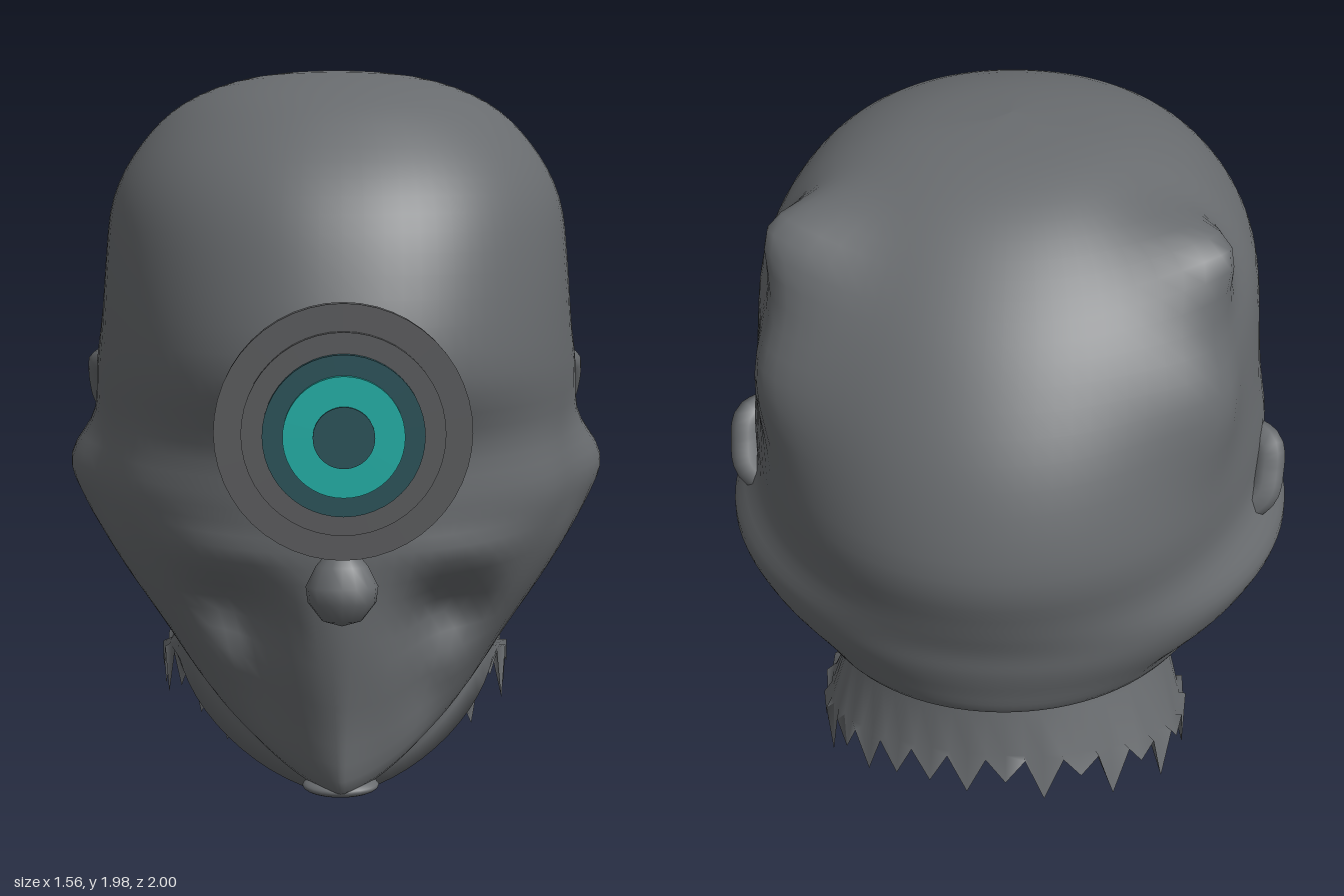
import * as THREE from 'three';

const mat = (name, color, side = THREE.FrontSide) => {
  const m = new THREE.MeshStandardMaterial({ color, side });
  m.name = name;
  return m;
};

// Head rings, top to bottom: front z, front y, back z, back y, half width, front fullness
const RINGS = [
  [-0.10, 1.99, -0.11, 1.99, 0.00, 2],
  [0.14, 1.97, -0.32, 1.96, 0.26, 2],
  [0.38, 1.90, -0.50, 1.89, 0.44, 2.1],
  [0.54, 1.79, -0.66, 1.77, 0.56, 2.2],
  [0.68, 1.64, -0.80, 1.62, 0.64, 2.2],
  [0.77, 1.45, -0.93, 1.42, 0.665, 2.2],
  [0.83, 1.20, -1.00, 1.20, 0.68, 2.1],
  [0.75, 1.02, -0.97, 1.03, 0.70, 2.1],
  [0.75, 0.86, -0.94, 0.92, 0.78, 1.95],
  [0.75, 0.72, -0.93, 0.84, 0.75, 1.85],
  [0.74, 0.52, -0.91, 0.76, 0.67, 1.7],
  [0.71, 0.30, -0.88, 0.67, 0.57, 1.5],
  [0.69, 0.12, -0.80, 0.63, 0.50, 1.35],
  [0.58, 0.10, -0.75, 0.65, 0.45, 1.4],
];

// Soft sculpting strokes, mirrored: centre, radii, offset
const STROKES = [
  [[0.27, 0.56, 0.52], [0.11, 0.10, 0.30], [-0.02, 0, -0.16]],   // eye sockets
  [[0.22, 0.38, 0.55], [0.07, 0.13, 0.25], [0, 0, -0.06]],       // beside the nose ridge
  [[0.30, 0.74, 0.55], [0.18, 0.05, 0.25], [0, 0, 0.03]],        // brows
  [[0.43, 1.78, -0.47], [0.12, 0.12, 0.14], [0.11, 0.06, -0.02]], // crown corners
  [[0.50, 1.52, -0.62], [0.16, 0.20, 0.15], [0.06, 0, -0.02]],   // rear plates
  [[0.68, 1.15, -0.15], [0.2, 0.14, 0.25], [0.02, 0, 0]],        // temple plates
  [[0.64, 0.87, 0.28], [0.2, 0.14, 0.15], [-0.03, 0, -0.02]],    // cheek hollows
  [[0.62, 0.68, -0.50], [0.2, 0.05, 0.30], [-0.04, 0, 0]],       // groove under cheekbone
];

function sculpt(p) {
  const s = Math.sign(p.x), q = p.clone();
  for (const [c, r, d] of STROKES) {
    const k = Math.exp(-(((Math.abs(p.x) - c[0]) / r[0]) ** 2
      + ((p.y - c[1]) / r[1]) ** 2 + ((p.z - c[2]) / r[2]) ** 2));
    q.add(new THREE.Vector3(s * d[0] * k, d[1] * k, d[2] * k));
  }
  return q;
}

// One tilted loop from the front towards +x: rounded back, wedge-like front
function loop([zf, yf, zb, yb, w, e], around, mid = -0.14) {
  const zw = THREE.MathUtils.clamp(mid, zb, zf);
  return Array.from({ length: around }, (_, j) => {
    const a = (j / around) * Math.PI * 2, s = Math.sin(a), c = Math.cos(a);
    const pow = 2 / (c > 0 ? e : 2);
    const z = c > 0 ? zw + (zf - zw) * c ** pow : zw + (zw - zb) * c;
    const y = THREE.MathUtils.lerp(yb, yf, (z - zb) / (zf - zb));
    return new THREE.Vector3(w * Math.sign(s) * Math.abs(s) ** pow, y, z);
  });
}

// Skin a grid of rows, each a closed loop
function skin(rows) {
  const n = rows[0].length, pos = [], idx = [];
  rows.forEach((row) => row.forEach((p) => pos.push(p.x, p.y, p.z)));
  for (let i = 0; i < rows.length - 1; i++) {
    for (let j = 0; j < n; j++) {
      const k = (j + 1) % n, a = i * n + j, b = i * n + k;
      idx.push(a, a + n, b + n, a, b + n, b);
    }
  }
  const g = new THREE.BufferGeometry();
  g.setAttribute('position', new THREE.Float32BufferAttribute(pos, 3));
  g.setIndex(idx);
  g.computeVertexNormals();
  return g;
}

function spline(t) {
  const i = Math.min(Math.floor(t), RINGS.length - 2), f = t - i;
  const at = (k) => RINGS[THREE.MathUtils.clamp(k, 0, RINGS.length - 1)];
  return RINGS[i].map((_, c) => {
    const [a, b, d, e] = [at(i - 1)[c], at(i)[c], at(i + 1)[c], at(i + 2)[c]];
    return b + 0.5 * f * (d - a + f * (2 * a - 5 * b + 4 * d - e + f * (3 * (b - d) + e - a)));
  });
}

function headGeometry(steps = 4, around = 96) {
  const rows = [];
  for (let i = 0; i <= (RINGS.length - 1) * steps; i++) {
    rows.push(loop(spline(i / steps), around).map(sculpt));
  }
  // Close the crown in one point
  rows[0].forEach((p) => p.set(0, 1.99, -0.1));
  return skin(rows);
}

// Height of the torn neck edge: z, y
const EDGE = [[0.2, 0.03], [0.1, 0.05], [0, 0.16], [-0.1, 0.25], [-0.4, 0.24], [-0.62, 0.35], [-0.9, 0.49]];
function edgeHeight(z) {
  const i = Math.max(1, EDGE.findIndex((p) => p[0] <= z));
  const [[z0, y0], [z1, y1]] = [EDGE[i - 1], EDGE[i]];
  return THREE.MathUtils.mapLinear(z, z0, z1, y0, y1);
}

// Chin underside running into an open neck with a spiky lower edge
function neckGeometry(around = 64) {
  const rows = [
    loop([0.62, 0.15, -0.78, 0.68, 0.46, 1.4], around),
    loop([0.57, 0.09, -0.79, 0.62, 0.47, 1.5], around),
    loop([0.46, 0.03, -0.80, 0.58, 0.48, 1.6], around),
  ];
  const rim = loop([0.12, 0, -0.82, 0, 0.52, 1.8], around, -0.32);
  rim.forEach((p) => { p.y = edgeHeight(p.z); });
  const tips = rim.map((p, j) => {
    const drop = p.z < 0.1 && j % 2 ? 0.06 + 0.10 * Math.sin(j * 2.3) ** 2 : 0;
    return new THREE.Vector3(p.x * 1.04, Math.max(0.01, p.y - drop), p.z - (p.z < -0.5 ? 0.02 : 0));
  });
  return skin([...rows, rim, tips]);
}

export function createModel() {
  const model = new THREE.Group();
  const skinGrey = mat('skin grey', 0x686b6e, THREE.DoubleSide);
  const discGrey = mat('disc grey', 0x5c5d5f);
  const darkTeal = mat('dark teal', 0x2b545b);
  const teal = mat('bright teal', 0x22b2a9);

  const add = (name, geometry, material, pos = [0, 0, 0], rot = [0, 0, 0], scale = [1, 1, 1]) => {
    const m = new THREE.Mesh(geometry, material);
    m.name = name;
    m.position.set(...pos);
    m.rotation.set(...rot);
    m.scale.set(...scale);
    model.add(m);
  };

  add('head', headGeometry(), skinGrey);
  add('neck', neckGeometry(), skinGrey);

  const ball = new THREE.SphereGeometry(1, 24, 16);
  add('lowerLip', ball, skinGrey, [0, 0.115, 0.61], [0, 0, 0], [0.10, 0.025, 0.07]);

  // Drop-shaped nub on the bridge of the face
  const drop = [[0, -0.1], [0.05, -0.085], [0.085, -0.04], [0.09, 0], [0.065, 0.05], [0.03, 0.09], [0, 0.1]];
  add('bridgeNub', new THREE.LatheGeometry(drop.map((p) => new THREE.Vector2(...p)), 16),
    skinGrey, [0, 0.685, 0.77], [-0.1, 0, 0], [1, 1, 0.85]);

  // Small ears and lobes
  for (const s of [1, -1]) {
    const side = s > 0 ? 'left' : 'right';
    const ear = new THREE.CatmullRomCurve3([[0.65, 1.14, -0.22], [0.705, 1.13, -0.27],
      [0.71, 1.07, -0.31], [0.70, 1.02, -0.34], [0.66, 0.98, -0.35]]
      .map(([x, y, z]) => new THREE.Vector3(s * x, y, z)));
    add(`${side}Ear`, new THREE.TubeGeometry(ear, 16, 0.046, 8), skinGrey);
    add(`${side}Lobe`, ball, skinGrey, [s * 0.67, 0.71, -0.2], [-0.75, 0, 0], [0.04, 0.10, 0.045]);
  }

  // Stepped round lens in front of the forehead: radius, back z, front z
  const discs = [
    ['lensBase', 0.305, 0.88, 0.925, discGrey],
    ['lensStep', 0.24, 0.925, 0.95, discGrey],
    ['lensRim', 0.19, 0.95, 0.975, darkTeal],
    ['lensGlow', 0.142, 0.975, 0.992, teal],
    ['lensPupil', 0.072, 0.992, 1.0, darkTeal],
  ];
  for (const [name, r, z0, z1, m] of discs) {
    add(name, new THREE.CylinderGeometry(r, r, z1 - z0, 48), m,
      [0, 1.09, (z0 + z1) / 2], [Math.PI / 2, 0, 0]);
  }
  return model;
}
